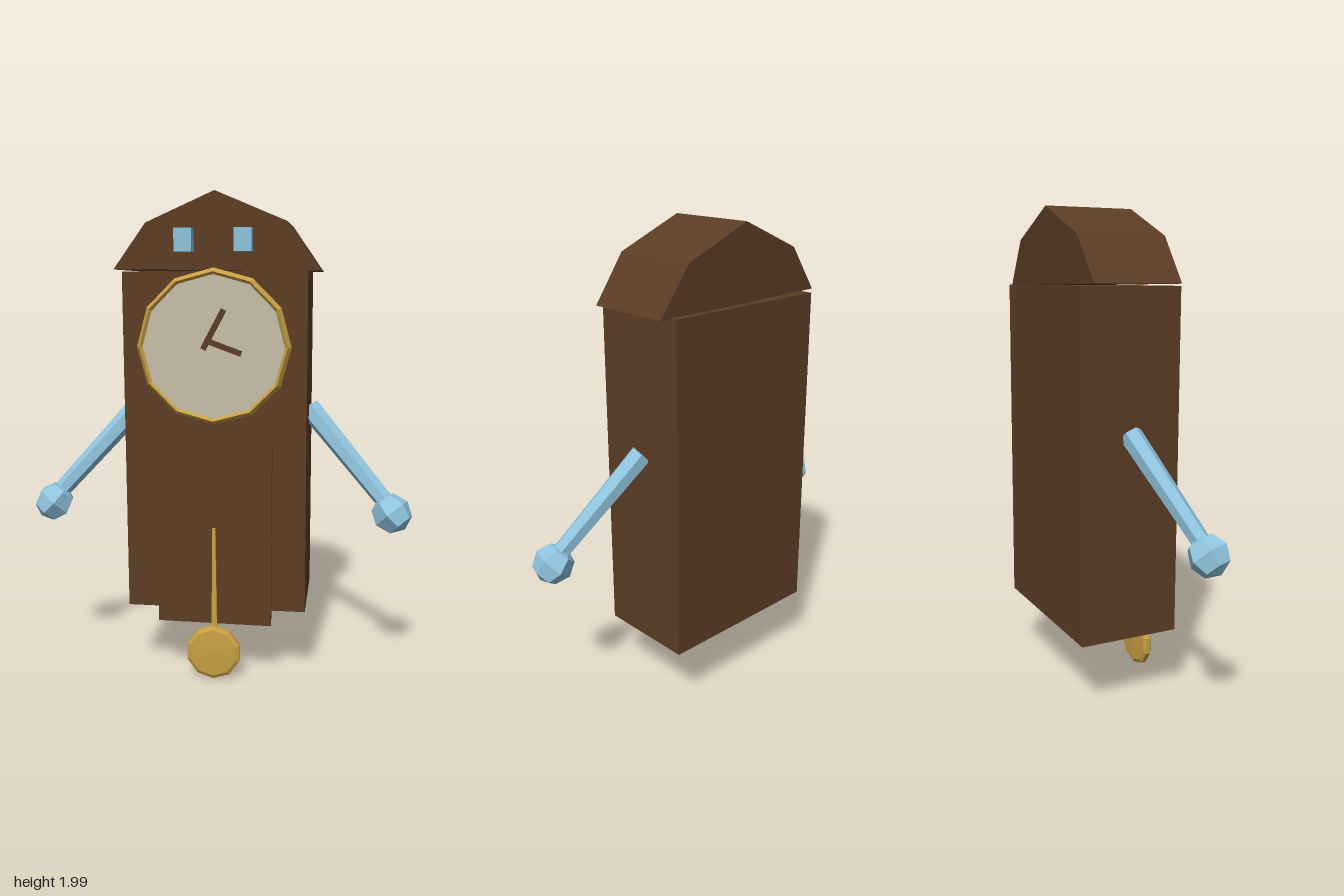
import * as THREE from 'three';

const mat = (name, color) => {
  const m = new THREE.MeshStandardMaterial({ color, flatShading: true });
  m.name = name;
  return m;
};

export function createModel() {
  const model = new THREE.Group();
  model.name = 'clock';
  const wood = mat('brown wood', 0x5c3d25);
  const gold = mat('gold', 0xc9a044);
  const blue = mat('light blue', 0x8fc4de);
  const cream = mat('cream', 0xc6bfa8);

  const add = (name, geometry, material, x = 0, y = 0, z = 0) => {
    const mesh = new THREE.Mesh(geometry, material);
    mesh.name = name;
    mesh.position.set(x, y, z);
    model.add(mesh);
    return mesh;
  };
  // Box given by its limits
  const box = (name, material, x0, x1, y0, y1, z0, z1) =>
    add(name, new THREE.BoxGeometry(x1 - x0, y1 - y0, z1 - z0), material,
      (x0 + x1) / 2, (y0 + y1) / 2, (z0 + z1) / 2);
  // Outline extruded between two depths
  const slab = (name, material, points, z0, z1) => {
    const shape = new THREE.Shape(points.map(p => new THREE.Vector2(...p)));
    return add(name, new THREE.ExtrudeGeometry(shape, { depth: z1 - z0, bevelEnabled: false }), material, 0, 0, z0);
  };
  // Turned part whose axis runs front to back; profile is [radius, z] from front to back
  const turned = (name, material, profile, sides, x, y) => {
    const pts = profile.map(p => new THREE.Vector2(...p)).reverse();
    const g = new THREE.LatheGeometry(pts, sides);
    g.rotateX(Math.PI / 2);
    return add(name, g, material, x, y, 0);
  };

  // Slightly crooked case and front panel
  slab('case', wood, [[-0.372, 0.3], [0.37, 0.306], [0.362, 1.695], [-0.378, 1.69]], -0.235, 0.184);
  slab('frontPanel', wood, [[-0.24, 0.245], [0.232, 0.245], [0.23, 0.982], [-0.238, 0.97]], 0.18, 0.205);

  // Gambrel roof, leaning back a little at the ridge
  const roof = slab('roof', wood,
    [[-0.418, 1.698], [0.41, 1.692], [0.278, 1.88], [-0.008, 2], [-0.285, 1.88]], -0.205, 0.163);
  const rp = roof.geometry.attributes.position;
  for (let i = 0; i < rp.count; i++) {
    if (rp.getZ(i) < 0.1) rp.setZ(i, -0.013 * (rp.getY(i) - 1.695) / 0.305);
  }

  // Eyes
  for (const x of [-0.125, 0.11]) box('eye', blue, x - 0.035, x + 0.035, 1.765, 1.855, 0.155, 0.222);

  // Dial with gold rim
  turned('dialRim', gold,
    [[0.276, 0.215], [0.294, 0.232], [0.309, 0.21], [0.294, 0.18]], 12, -0.005, 1.395);
  turned('dialFace', cream, [[0, 0.222], [0.284, 0.222]], 12, -0.005, 1.395);

  // Clock hands
  const hand = (name, x0, y0, x1, y1) => {
    const length = Math.hypot(x1 - x0, y1 - y0);
    const h = add(name, new THREE.BoxGeometry(length, 0.021, 0.018), wood,
      (x0 + x1) / 2, (y0 + y1) / 2, 0.231);
    h.rotation.z = Math.atan2(y1 - y0, x1 - x0);
  };
  hand('minuteHand', -0.044, 1.388, 0.038, 1.542);
  hand('hourHand', -0.03, 1.421, 0.107, 1.371);

  // Pendulum
  slab('pendulumRod', gold, [[-0.014, 0.22], [0.009, 0.22], [0.002, 0.655], [-0.011, 0.655]], 0.199, 0.216);
  turned('pendulumBob', gold,
    [[0, 0.232], [0.1, 0.227], [0.115, 0.218], [0.115, 0.198], [0.1, 0.189], [0, 0.184]], 10, -0.007, 0.121);

  // Arms and hands, mirrored
  for (const [side, label] of [[1, 'left'], [-1, 'right']]) {
    const from = new THREE.Vector3(side * 0.365, 1.13, -0.025);
    const to = new THREE.Vector3(side * 0.705, 0.745, 0.11);
    const dir = to.clone().sub(from);
    const arm = add(label + 'Arm', new THREE.CylinderGeometry(0.036, 0.046, dir.length(), 6), blue);
    arm.position.copy(from).add(to).multiplyScalar(0.5);
    arm.quaternion.setFromUnitVectors(new THREE.Vector3(0, 1, 0), dir.normalize());
    const fist = add(label + 'Hand', new THREE.SphereGeometry(0.083, 6, 4), blue, side * 0.713, 0.722, 0.115);
    fist.quaternion.copy(arm.quaternion);
  }
  return model;
}
